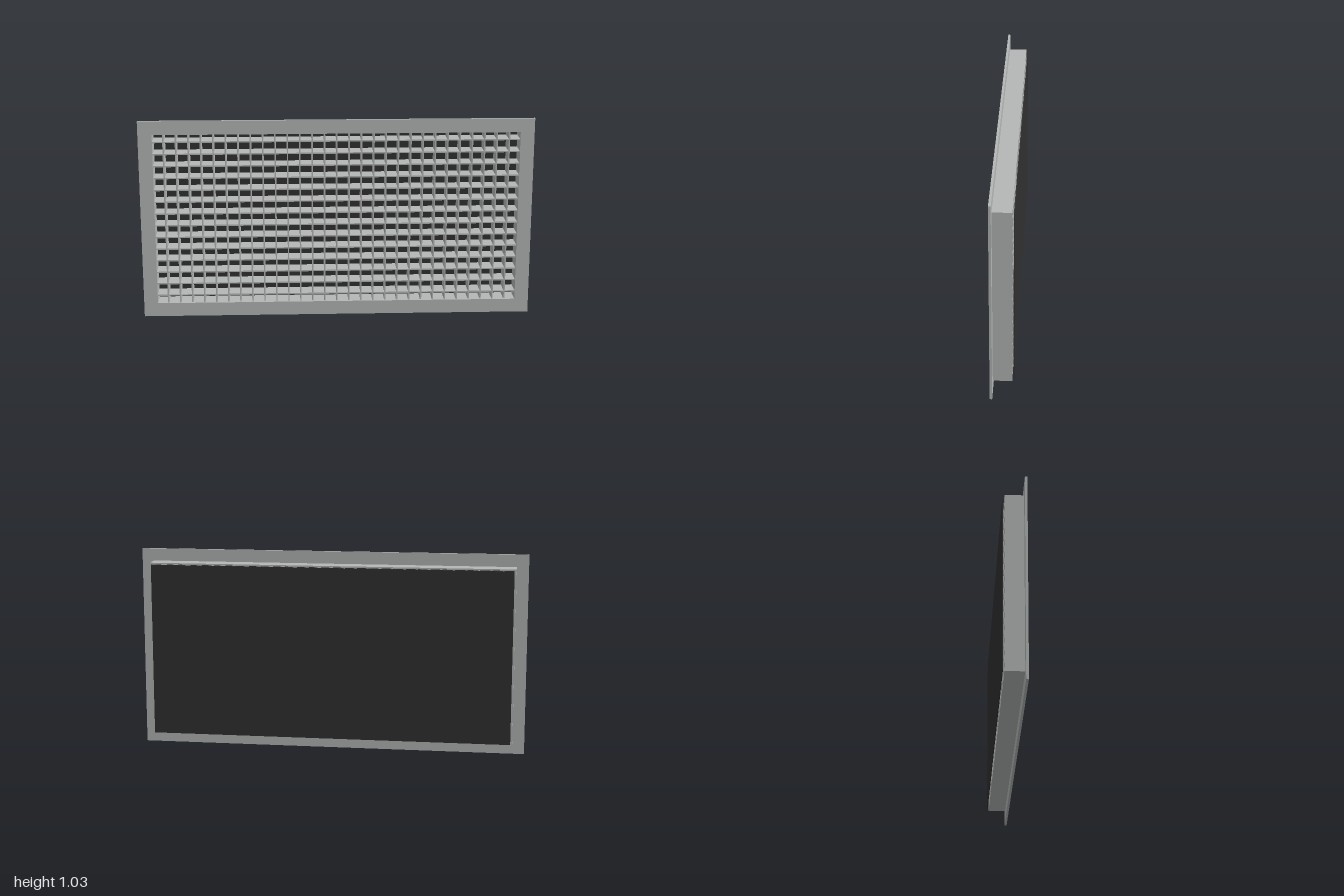
import * as THREE from 'three';

const CENTER_Y = 0.5175;

// Rectangular ring of given outer and inner size, from z0 to z1
function ringGeometry(w, h, innerW, innerH, z0, z1) {
  const rect = (P, a, b) => new P([
    new THREE.Vector2(-a / 2, -b / 2), new THREE.Vector2(a / 2, -b / 2),
    new THREE.Vector2(a / 2, b / 2), new THREE.Vector2(-a / 2, b / 2),
  ]);
  const shape = rect(THREE.Shape, w, h);
  shape.holes.push(rect(THREE.Path, innerW, innerH));
  const geo = new THREE.ExtrudeGeometry(shape, { depth: z1 - z0, bevelEnabled: false });
  return geo.translate(0, CENTER_Y, z0);
}

export function createModel() {
  const paintedMetal = new THREE.MeshStandardMaterial({ color: 0xb4b7b6 });
  paintedMetal.name = 'painted metal grey';
  const darkBacking = new THREE.MeshStandardMaterial({ color: 0x303030 });
  darkBacking.name = 'dark backing';

  const model = new THREE.Group();
  model.name = 'ventGrille';

  const add = (parent, name, geo, mat) => {
    const mesh = new THREE.Mesh(geo, mat);
    mesh.name = name;
    parent.add(mesh);
    return mesh;
  };

  const innerW = 1.858, innerH = 0.893;

  // Thin face flange and the duct collar behind it
  add(model, 'flange', ringGeometry(2, 1.035, innerW, innerH, 0.045, 0.057), paintedMetal);
  add(model, 'collar', ringGeometry(1.878, 0.908, innerW, innerH, -0.047, 0.045), paintedMetal);

  // Egg-crate core: crossing thin blades
  const core = new THREE.Group();
  core.name = 'eggCrateCore';
  model.add(core);
  const pitch = 0.0625, blade = 0.007, depth = 0.094;
  const verticalGeo = new THREE.BoxGeometry(blade, innerH, depth);
  const horizontalGeo = new THREE.BoxGeometry(innerW, blade, depth);
  for (let i = -14; i <= 14; i++) {
    add(core, 'verticalBlade', verticalGeo, paintedMetal).position.set(i * pitch, CENTER_Y, 0);
  }
  for (let j = 0; j < 14; j++) {
    add(core, 'horizontalBlade', horizontalGeo, paintedMetal)
      .position.set(0, CENTER_Y + (j - 6.5) * pitch, 0);
  }

  // Backing sheet, set just behind the collar
  add(model, 'backingSheet', new THREE.BoxGeometry(1.858, 0.89, 0.004), darkBacking)
    .position.set(0, CENTER_Y, -0.055);

  return model;
}
